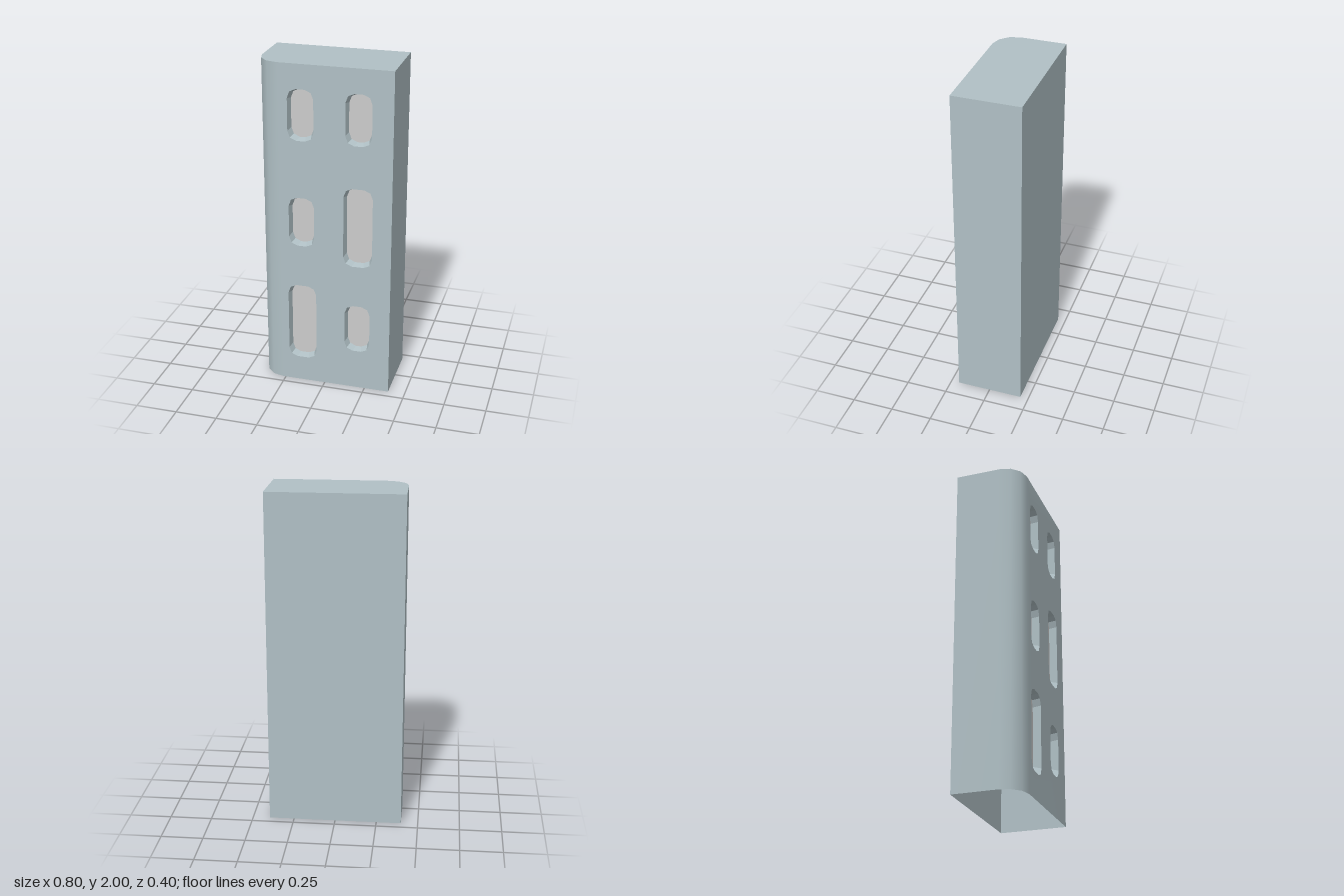
import * as THREE from 'three';
import { mergeGeometries, toCreasedNormals } from 'three/addons/utils/BufferGeometryUtils.js';

const HALF_W = 0.398, HALF_D = 0.2, HEIGHT = 2, RADIUS = 0.13;
const RECESS = 0.045, TAPER = 0.01;

// Window openings: centre x, centre y, width, height
const WINDOWS = [
  [-0.137, 1.704, 0.153, 0.302], [0.2, 1.704, 0.153, 0.302],
  [-0.137, 1.055, 0.153, 0.302], [0.2, 1.053, 0.172, 0.486],
  [-0.137, 0.401, 0.172, 0.486], [0.2, 0.401, 0.153, 0.302],
];

// Strip of quads between two equally long point lists
function loft(a, b) {
  const pos = [];
  for (let i = 0; i < a.length - 1; i++) {
    for (const p of [a[i], a[i + 1], b[i + 1], a[i], b[i + 1], b[i]]) pos.push(p.x, p.y, p.z);
  }
  const g = new THREE.BufferGeometry();
  g.setAttribute('position', new THREE.Float32BufferAttribute(pos, 3));
  g.computeVertexNormals();
  return g;
}

function flat(points, holes = []) {
  const shape = new THREE.Shape(points);
  shape.holes = holes.map((h) => new THREE.Path(h));
  const g = new THREE.ShapeGeometry(shape).toNonIndexed();
  g.deleteAttribute('uv');
  return g;
}

// Counterclockwise rectangle with faceted, slightly tall rounded corners
function windowLoop([cx, cy, w, h], inset = 0) {
  const rx = 0.05, ry = 0.055, steps = 2, pts = [];
  const hw = w / 2 - inset, hh = h / 2 - inset;
  [[1, 1], [-1, 1], [-1, -1], [1, -1]].forEach(([sx, sy], q) => {
    for (let i = 0; i <= steps; i++) {
      const t = (q + i / steps) * Math.PI / 2;
      pts.push(new THREE.Vector2(cx + sx * (hw - rx) + rx * Math.cos(t), cy + sy * (hh - ry) + ry * Math.sin(t)));
    }
  });
  return pts;
}

const atZ = (pts, z) => [...pts, pts[0]].map((p) => new THREE.Vector3(p.x, p.y, z));

export function createModel() {
  const group = new THREE.Group();
  const bodyMat = new THREE.MeshStandardMaterial({ color: 0xb0c0c5, side: THREE.DoubleSide });
  const paneMat = new THREE.MeshStandardMaterial({ color: 0xcccccc, side: THREE.DoubleSide });
  const add = (name, geometry, material, parent = group) => {
    const mesh = new THREE.Mesh(geometry, material);
    mesh.name = name;
    parent.add(mesh);
  };

  // Plan outline (x, -z): right side, back, left side, then the rounded front corner
  const plan = [[HALF_W, -HALF_D], [HALF_W, HALF_D], [-HALF_W, HALF_D]].map(([x, y]) => new THREE.Vector2(x, y));
  for (let i = 0; i <= 3; i++) {
    const t = Math.PI + i * Math.PI / 6;
    plan.push(new THREE.Vector2(-HALF_W + RADIUS + RADIUS * Math.cos(t), -HALF_D + RADIUS + RADIUS * Math.sin(t)));
  }
  const level = (y) => plan.map((p) => new THREE.Vector3(p.x, y, -p.y));

  // Hollow shell, open underneath: walls, pierced front and roof
  const x0 = -HALF_W + RADIUS;
  const frontOutline = [[x0, 0], [HALF_W, 0], [HALF_W, HEIGHT], [x0, HEIGHT]].map(([x, y]) => new THREE.Vector2(x, y));
  const front = flat(frontOutline, WINDOWS.map((w) => windowLoop(w))).translate(0, 0, HALF_D);
  const roof = flat(plan).rotateX(-Math.PI / 2).translate(0, HEIGHT, 0);
  const shell = mergeGeometries([loft(level(0), level(HEIGHT)), front, roof]);
  add('buildingShell', toCreasedNormals(shell, 0.6), bodyMat);

  // Recessed windows
  WINDOWS.forEach((w, i) => {
    const win = new THREE.Group();
    win.name = `window${i + 1}`;
    const inner = windowLoop(w, TAPER), z = HALF_D - RECESS;
    add('windowReveal', loft(atZ(windowLoop(w), HALF_D), atZ(inner, z)), bodyMat, win);
    add('windowPane', flat(inner).translate(0, 0, z), paneMat, win);
    group.add(win);
  });
  return group;
}
